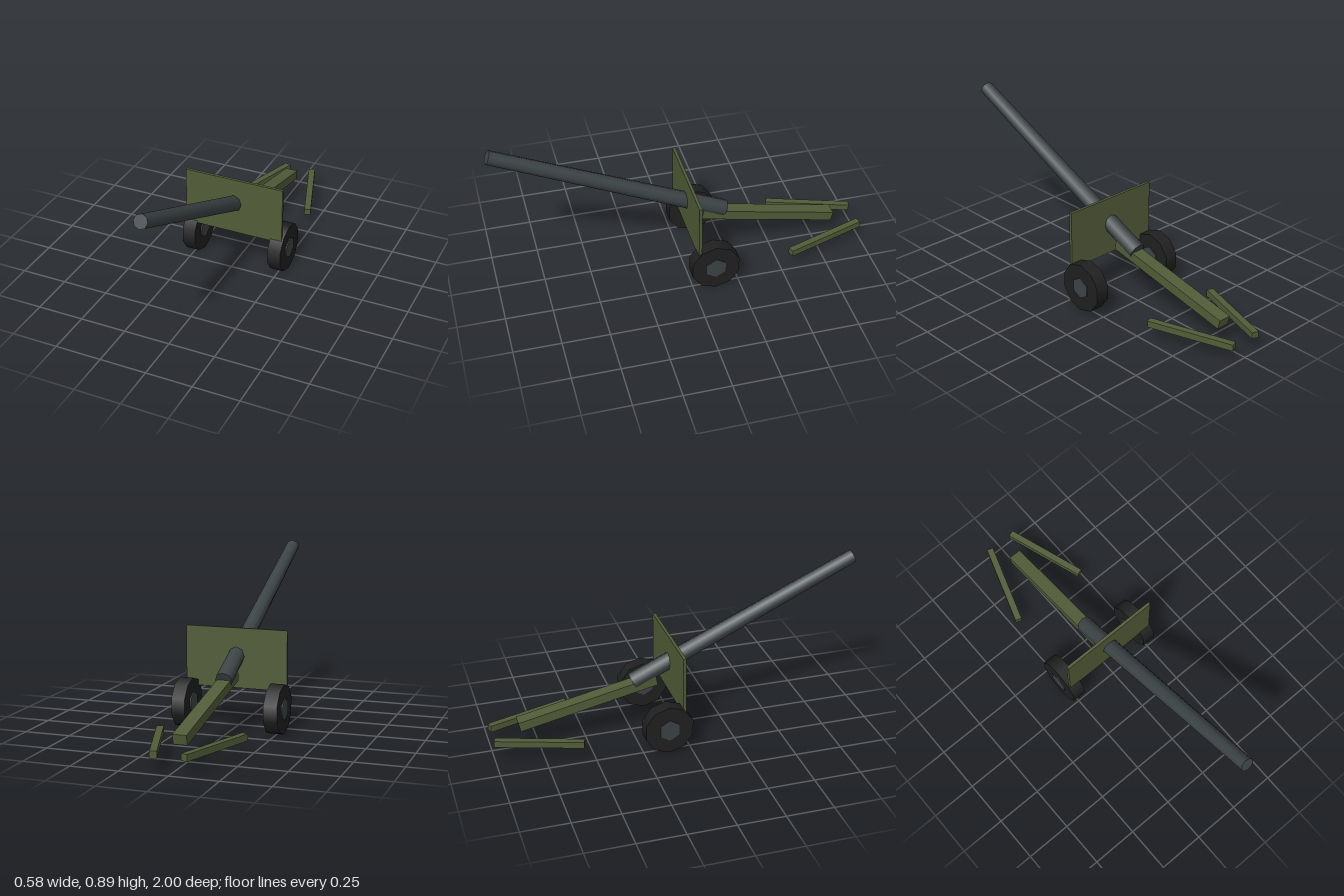
import * as THREE from 'three';

export function createModel() {
  const olive = new THREE.MeshStandardMaterial({ color: 0x525c38 });
  olive.name = 'olive paint';
  const steel = new THREE.MeshStandardMaterial({ color: 0x3c4446 });
  steel.name = 'gun steel';
  const rubber = new THREE.MeshStandardMaterial({ color: 0x202020 });
  rubber.name = 'tyre rubber';

  const model = new THREE.Group();
  model.name = 'fieldGun';

  function add(name, geometry, material, x, y, z) {
    const mesh = new THREE.Mesh(geometry, material);
    mesh.name = name;
    mesh.position.set(x, y, z);
    model.add(mesh);
    return mesh;
  }

  // Tapered barrel, raised about 25 degrees, from breech to muzzle
  const breech = new THREE.Vector3(0, 0.29, -0.239);
  const muzzle = new THREE.Vector3(0, 0.852, 0.984);
  const along = muzzle.clone().sub(breech);
  const mid = breech.clone().add(muzzle).multiplyScalar(0.5);
  const barrel = add('barrel', new THREE.CylinderGeometry(0.0375, 0.0465, along.length(), 8),
    steel, mid.x, mid.y, mid.z);
  barrel.rotation.x = Math.atan2(along.z, along.y);

  // Flat gun shield
  add('shield', new THREE.BoxGeometry(0.556, 0.32, 0.016), olive, 0, 0.37, -0.035);

  // Trail beam sloping down to the rear
  const trail = add('trail', new THREE.BoxGeometry(0.072, 0.052, 0.757), olive, 0, 0.213, -0.483);
  trail.rotation.x = -0.21;

  for (const side of [1, -1]) {
    const label = side > 0 ? 'left' : 'right';

    // Tyre and protruding hexagonal hub, each with a corner pointing up
    for (const [part, radius, width, sides, material] of [
      ['Tyre', 0.1325, 0.074, 10, rubber],
      ['Hub', 0.0585, 0.085, 6, steel],
    ]) {
      const wheel = add(label + part,
        new THREE.CylinderGeometry(radius, radius, width, sides, 1, false, Math.PI / 2),
        material, side * 0.25, 0.1325, -0.118);
      wheel.rotation.z = Math.PI / 2;
    }

    // Splayed ground spar beside the trail end
    const spar = add(label + 'Spar', new THREE.BoxGeometry(0.036, 0.035, 0.463),
      olive, side * 0.149, 0.093, -0.774);
    spar.rotation.y = side * 0.319;
  }

  return model;
}
